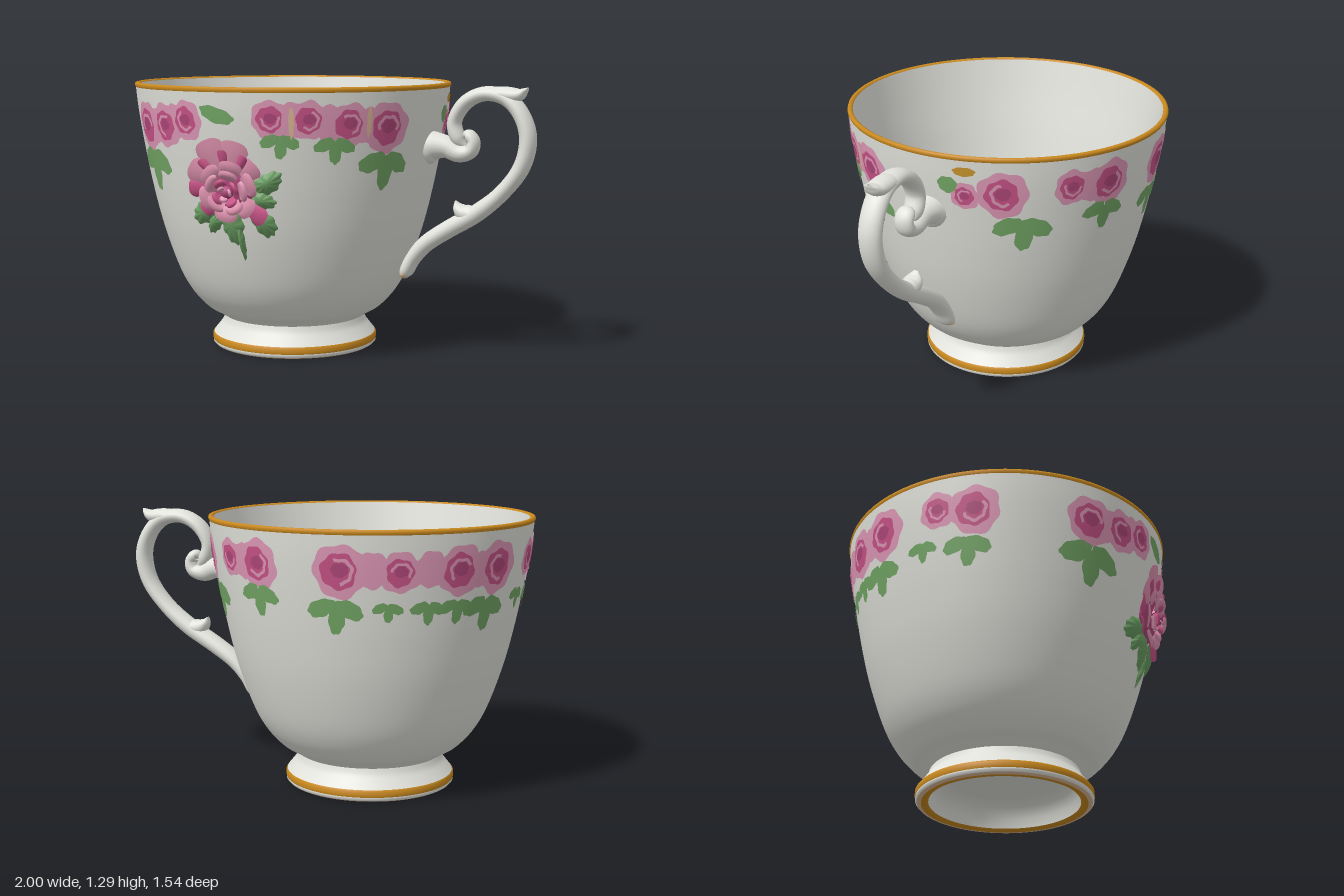
import * as THREE from 'three';
import { mergeGeometries, mergeVertices } from 'three/addons/utils/BufferGeometryUtils.js';

const mat = (name, color, side = THREE.DoubleSide) =>
  Object.assign(new THREE.MeshStandardMaterial({ color, side }), { name });
const AXIS = -0.235; // x of the cup's axis; the handle takes the rest of the width

// Smooth profile through [radius, y] points
const profile = (pts, n) =>
  new THREE.SplineCurve(pts.map(p => new THREE.Vector2(...p))).getPoints(n);
const outer = profile([[0.345, 0.145], [0.385, 0.17], [0.44, 0.205], [0.51, 0.285], [0.57, 0.4],
  [0.638, 0.6], [0.687, 0.8], [0.725, 1.0], [0.75, 1.16], [0.762, 1.272]], 72);
const inner = profile([[0.742, 1.285], [0.705, 1.12], [0.662, 0.94], [0.608, 0.7], [0.557, 0.53],
  [0.48, 0.38], [0.36, 0.27], [0.2, 0.215], [0, 0.2]], 72);

// Linear lookup along a sampled profile: value of key `to` where key `from` equals x
function lookup(pts, from, to, x) {
  for (let i = 1; i < pts.length; i++) {
    const a = pts[i - 1], b = pts[i];
    if ((x - a[from]) * (x - b[from]) <= 0 && a[from] !== b[from])
      return a[to] + (b[to] - a[to]) * (x - a[from]) / (b[from] - a[from]);
  }
  return pts[pts.length - 1][to];
}

// Surface from a rule (u, v in 0..1) -> [x, y, z]
function surface(nu, nv, rule, weld = false) {
  let g = new THREE.PlaneGeometry(1, 1, nu, nv);
  const p = g.attributes.position;
  for (let i = 0; i < p.count; i++) p.setXYZ(i, ...rule(p.getX(i) + 0.5, p.getY(i) + 0.5));
  g.deleteAttribute('uv');
  g.deleteAttribute('normal');
  if (weld) g = mergeVertices(g, 1e-5);
  g.computeVertexNormals();
  return g;
}

// Wobbly patch in local (x, y), laid on a surface by map(x, y, t); may be an arc band
function blob(map, cx, cy, rx, ry, { rot = 0, seed = 0, wob = 0.05, freq = 7, from = 0, a0 = 0, arc = 2 * Math.PI } = {}) {
  return surface(8, 42, (u, v) => {
    const a = a0 + v * arc, t = from + (1 - from) * u;
    const k = t * (1 + wob * Math.sin(freq * a + seed) + wob * 0.8 * Math.sin(3 * a + seed * 2.3));
    const x = k * rx * Math.cos(a), y = k * ry * Math.sin(a);
    return map(cx + x * Math.cos(rot) - y * Math.sin(rot), cy + x * Math.sin(rot) + y * Math.cos(rot), t);
  });
}

// Lay patches on a wall (angle in degrees from the front) or on the floor (x, z from above)
const onWall = (deg, off, wall = outer) => (x, y, t) => {
  const a = deg * Math.PI / 180 + x / 0.74;
  const r = lookup(wall, 'y', 'x', y) + (typeof off === 'function' ? off(t) : off);
  return [r * Math.sin(a), y, r * Math.cos(a)];
};
const onInside = off => (x, y) => {
  const X = x - AXIS, r = Math.hypot(X, y) || 1e-4, k = (r - off) / r;
  return [X * k, lookup(inner, 'x', 'y', r) + off, y * k];
};

// Swept bar: points are [x, y, half width, half depth]
function sweep(pts, steps = 64) {
  const path = new THREE.CatmullRomCurve3(pts.map(p => new THREE.Vector3(p[0], p[1], 0)), false, 'catmullrom');
  const size = new THREE.CatmullRomCurve3(pts.map(p => new THREE.Vector3(p[2], p[3], 0)), false, 'catmullrom');
  return surface(20, steps, (u, v) => {
    const p = path.getPoint(v), t = path.getTangent(v), s = size.getPoint(v), a = u * 2 * Math.PI;
    const w = Math.max(s.x, 0.001) * Math.cos(a);
    return [p.x - t.y * w, p.y + t.x * w, Math.max(s.y, 0.001) * Math.sin(a)];
  }, true);
}

export function createModel() {
  const porcelain = mat('porcelain', 0xe2e2dc, THREE.FrontSide), gold = mat('gold', 0xcb8a1e);
  const pale = mat('palePink', 0xe09ab8), deep = mat('deepPink', 0xca5488), wine = mat('darkRose', 0xb0487a);
  const green = mat('leafGreen', 0x74a866), petalPink = mat('petalPink', 0xe094b0);
  const darkGreen = mat('darkLeaf', 0x6c9f64), peach = mat('peach', 0xdfba98), ochre = mat('ochre', 0xc8942e);

  const model = new THREE.Group();
  const cup = new THREE.Group();
  cup.name = 'cup';
  cup.position.x = AXIS;
  model.add(cup);
  const add = (parent, name, geometry, material) => {
    const m = new THREE.Mesh(geometry, material);
    m.name = name;
    parent.add(m);
    return m;
  };
  const lathe = (name, pts, material) =>
    add(cup, name, new THREE.LatheGeometry(pts.map(p => p.isVector2 ? p : new THREE.Vector2(...p)), 96), material);

  // Bowl, rim and hollow foot
  lathe('bowlOutside', outer, porcelain);
  lathe('bowlInside', inner, porcelain);
  lathe('goldRim', [[0.762, 1.27], [0.767, 1.28], [0.764, 1.29], [0.754, 1.293], [0.744, 1.289], [0.741, 1.28]], gold);
  lathe('footHollow', [[0, 0.13], [0.25, 0.125], [0.31, 0.1], [0.335, 0.05], [0.345, 0.008]], porcelain);
  lathe('footUnderside', [[0.345, 0.008], [0.357, 0], [0.378, 0]], gold);
  lathe('footRing', [[0.378, 0], [0.388, 0], [0.397, 0.005]], peach);
  lathe('footEdge', [[0.397, 0.005], [0.405, 0.014], [0.404, 0.023]], porcelain);
  lathe('footGoldBand', [[0.404, 0.023], [0.407, 0.032], [0.406, 0.05], [0.4, 0.058]], gold);
  lathe('footFlare', profile([[0.4, 0.058], [0.378, 0.085], [0.356, 0.115], [0.345, 0.145]], 12), porcelain);

  // Handle: main loop, top flick, thumb spur, scroll joining the bowl
  const handle = new THREE.Group();
  handle.name = 'handle';
  model.add(handle);
  add(handle, 'handleLoop', sweep([[0.665, 1.0, 0.01, 0.01], [0.625, 1.04, 0.034, 0.045], [0.605, 1.12, 0.032, 0.05],
    [0.655, 1.205, 0.034, 0.054], [0.745, 1.25, 0.034, 0.055], [0.85, 1.235, 0.036, 0.056], [0.925, 1.16, 0.037, 0.056],
    [0.959, 1.05, 0.039, 0.056], [0.93, 0.92, 0.038, 0.055], [0.84, 0.80, 0.037, 0.054], [0.72, 0.70, 0.042, 0.054],
    [0.58, 0.615, 0.042, 0.054], [0.47, 0.54, 0.04, 0.054], [0.405, 0.465, 0.035, 0.054], [0.368, 0.395, 0.03, 0.05],
    [0.358, 0.366, 0.002, 0.01]], 100), porcelain);
  add(handle, 'handleFlick', sweep([[0.74, 1.25, 0.02, 0.045], [0.83, 1.25, 0.036, 0.054], [0.905, 1.248, 0.032, 0.05],
    [0.94, 1.268, 0.014, 0.035], [0.956, 1.284, 0.001, 0.008]], 24), porcelain);
  add(handle, 'thumbSpur', sweep([[0.73, 0.70, 0.03, 0.05], [0.665, 0.695, 0.042, 0.05], [0.63, 0.72, 0.026, 0.042],
    [0.614, 0.752, 0.001, 0.01]], 20), porcelain);
  add(handle, 'handleScroll', sweep([[0.478, 1.0, 0.085, 0.085], [0.515, 1.005, 0.065, 0.072], [0.57, 1.0, 0.052, 0.057],
    [0.63, 0.975, 0.044, 0.052], [0.685, 0.985, 0.034, 0.05], [0.7, 1.03, 0.028, 0.046], [0.672, 1.06, 0.027, 0.04],
    [0.645, 1.045, 0.002, 0.006]], 48), porcelain);
  const blush = add(handle, 'handleFootBlush', new THREE.SphereGeometry(1, 16, 10), peach);
  blush.position.set(0.364, 0.39, 0);
  blush.scale.set(0.023, 0.026, 0.051);

  // Painted flowers, gathered by colour
  const paint = new Map();
  const dab = (material, geometry) => paint.set(material, [...(paint.get(material) || []), geometry]);

  // Rose garland under the rim: [angle, y, half size]
  const roses = [[-37, 1.1, 0.115], [-23, 1.11, 0.1], [-12, 1.14, 0.09], [20, 1.155, 0.085], [33, 1.15, 0.085],
    [47, 1.13, 0.095], [62, 1.11, 0.115], [104, 1.1, 0.065], [117, 1.115, 0.113], [141, 1.135, 0.085], [156, 1.125, 0.11],
    [187, 1.115, 0.118], [207, 1.11, 0.09], [228, 1.11, 0.112], [245, 1.11, 0.118], [269, 1.12, 0.085], [282, 1.1, 0.115]];
  roses.forEach(([deg, y, s], i) => {
    dab(pale, blob(onWall(deg, 0.004), 0, y, s, s, { seed: i }));
    dab(deep, blob(onWall(deg, 0.006), -s * 0.05, y, s * 0.66, s * 0.68, { seed: i + 2 }));
    dab(pale, blob(onWall(deg, 0.008), 0, y, s * 0.5, s * 0.5, { from: 0.74, a0: i, arc: 3.6 }));
    dab(wine, blob(onWall(deg, 0.008), 0, y + s * 0.05, s * 0.32, s * 0.27, { seed: i }));
  });
  // Pale links between neighbouring roses
  [[-30, 1.11], [-17, 1.13], [27, 1.15], [40, 1.14], [54, 1.12], [148, 1.13], [198, 1.12], [217, 1.12],
    [237, 1.11]].forEach(([deg, y], i) => dab(pale, blob(onWall(deg, 0.003), 0, y, 0.075, 0.08, { seed: i })));
  // Leaf sprigs hanging below: [angle, y, size]
  [[-36, 0.91, 0.125], [23, 1.04, 0.07], [42, 1.02, 0.075], [62, 0.925, 0.11], [124, 0.925, 0.11], [155, 0.97, 0.09],
    [185, 0.925, 0.1], [203, 0.94, 0.055], [217, 0.935, 0.065], [228, 0.935, 0.07], [241, 0.915, 0.1], [262, 0.95, 0.06],
    [279, 0.92, 0.09]].forEach(([deg, y, s], i) =>
    [[-0.62, 0.28, 0.35], [0.62, 0.22, -0.45], [0.05, -0.2, 1.5]].forEach(([x, dy, rot], k) =>
      dab(green, blob(onWall(deg, 0.004 + k * 0.001), x * s, y + dy * s, s * 0.68, s * 0.38, { rot, seed: i + k }))));
  // Loose leaves and gold dabs beside the garland
  [[1, 1.17, 0.085, 0.035, -0.3], [98, 1.15, 0.045, 0.04, 0]].forEach(([d, y, a, b, rot]) =>
    dab(green, blob(onWall(d, 0.005), 0, y, a, b, { rot })));
  dab(ochre, blob(onWall(104, 0.005), 0, 1.22, 0.05, 0.022));
  for (const deg of [27, 54]) dab(peach, blob(onWall(deg, 0.009), 0, 1.14, 0.012, 0.07));

  // Bouquet on the inside: [colour, x, z, half x, half z, turn, height]
  [[peach, -0.58, -0.2, 0.16, 0.2, 0, 0.004], [peach, -0.56, 0.03, 0.13, 0.2, 0, 0.0045],
    [peach, -0.59, 0.2, 0.15, 0.17, 0, 0.005], [peach, -0.51, 0.32, 0.08, 0.08, 0, 0.0055],
    [ochre, -0.6, -0.27, 0.065, 0.045, 0, 0.008], [ochre, -0.6, 0.23, 0.07, 0.055, 0, 0.008],
    [pale, -0.25, 0, 0.29, 0.35, 0, 0.01], [deep, -0.27, -0.01, 0.25, 0.32, 0, 0.013],
    [pale, -0.4, -0.5, 0.17, 0.085, -0.15, 0.004], [deep, -0.35, -0.52, 0.11, 0.06, -0.2, 0.006],
    [green, -0.25, -0.4, 0.085, 0.05, -0.4, 0.014], [deep, 0.06, 0.08, 0.055, 0.07, 0, 0.014],
    [green, 0.09, 0.21, 0.1, 0.055, -0.35, 0.008], [green, -0.03, 0.26, 0.09, 0.045, -0.6, 0.008],
    [green, -0.33, 0.35, 0.16, 0.055, 0.35, 0.014], [pale, -0.07, 0.44, 0.19, 0.13, 0, 0.004],
    [deep, -0.09, 0.44, 0.16, 0.12, 0, 0.006], [green, -0.19, 0.56, 0.06, 0.03, 0, 0.008]
  ].forEach(([m, x, z, a, b, rot, off], i) => dab(m, blob(onInside(off), x, z, a, b, { rot, seed: i })));
  // Sprigs climbing the inner wall above the bouquet
  for (const deg of [17, 204]) for (const [x, y, a, b, rot] of [[0, 0.83, 0.05, 0.12, 0], [-0.06, 0.76, 0.07, 0.04, 0.6], [0.06, 0.76, 0.07, 0.04, -0.6]])
    dab(green, blob(onWall(deg, -0.006, inner), x, y, a, b, { rot }));
  // Pale strokes on the bouquet's main rose
  for (const [a0, arc] of [[1.9, 1.5], [3.3, 0.9]])
    dab(pale, blob(onInside(0.016), -0.26, 0, 0.19, 0.24, { from: 0.92, a0, arc }));
  for (const [m, list] of paint) add(cup, `painted_${m.name}`, mergeGeometries(list), m);

  // Raised leaves around the applied rose: [x, y, half length, half width, turn]
  const leaves = [[0.235, 0.87, 0.075, 0.045, 0.5], [0.2, 0.79, 0.07, 0.04, -0.1], [0.205, 0.69, 0.08, 0.05, -0.8],
    [0.04, 0.67, 0.06, 0.085, 0.2], [-0.1, 0.725, 0.1, 0.05, 0.3], [-0.06, 0.68, 0.06, 0.035, 0.9],
    [0.08, 0.6, 0.018, 0.09, 0.1]];
  add(cup, 'raisedLeaves', mergeGeometries(leaves.map(([x, y, a, b, rot], i) =>
    blob(onWall(4, t => 0.004 + 0.022 * (1 - t * t)), x - 0.05, y, a, b, { rot, seed: i, wob: 0.08, freq: 9 }))), darkGreen);

  // Applied rose: cupped petals in rings, on a dark base
  const rose = new THREE.Group();
  rose.name = 'appliedRose';
  rose.position.set(0.05, 0.84, 0.683);
  rose.rotation.set(0.2, 0.07, 0);
  cup.add(rose);
  const petal = (a, w, r0, r1, h0, h1) => surface(10, 7, (u, v) => {
    const s = 2 * u - 1, ang = a + s * w, r = r0 + (r1 - r0) * v * (1 - 0.22 * s ** 4);
    return [r * Math.cos(ang), r * Math.sin(ang), h0 + (h1 - h0) * Math.sin(v * 2.1) - 0.012 * s * s];
  });
  const ring = (n, turn, ...dims) => Array.from({ length: n }, (_, i) => petal(turn + i * 2 * Math.PI / n, ...dims));
  const base = add(rose, 'roseBase', new THREE.SphereGeometry(0.12, 28, 8, 0, 2 * Math.PI, 0, Math.PI / 2), wine);
  base.rotation.x = Math.PI / 2;
  base.scale.y = 0.38;
  add(rose, 'rosePetals', mergeGeometries([
    ...[[0.75, 0.19], [1.35, 0.235], [1.95, 0.25], [2.6, 0.215]].map(([a, r]) => petal(a, 0.36, 0.08, r, 0.025, 0.036)),
    ...ring(6, 0.3, 0.47, 0.065, 0.145, 0.03, 0.055), ...ring(5, 0.1, 0.54, 0.05, 0.105, 0.04, 0.075)]), petalPink);
  add(rose, 'roseTips', mergeGeometries([
    ...[[3.1, 0.2], [3.75, 0.175], [5.55, 0.21]].map(([a, r]) => petal(a, 0.26, 0.1, r, 0.02, 0.035)),
    ...[1.05, 1.65, 2.3].map(a => petal(a, 0.14, 0.1, 0.19, 0.035, 0.045)),
    ...ring(4, 0.5, 0.6, 0.025, 0.068, 0.045, 0.082)]), deep);
  add(rose, 'roseCore', mergeGeometries(ring(3, 0.2, 0.7, 0.008, 0.038, 0.06, 0.09)), petalPink);
  add(rose, 'roseHeart', new THREE.SphereGeometry(0.03, 16, 10), wine).position.z = 0.052;
  return model;
}
